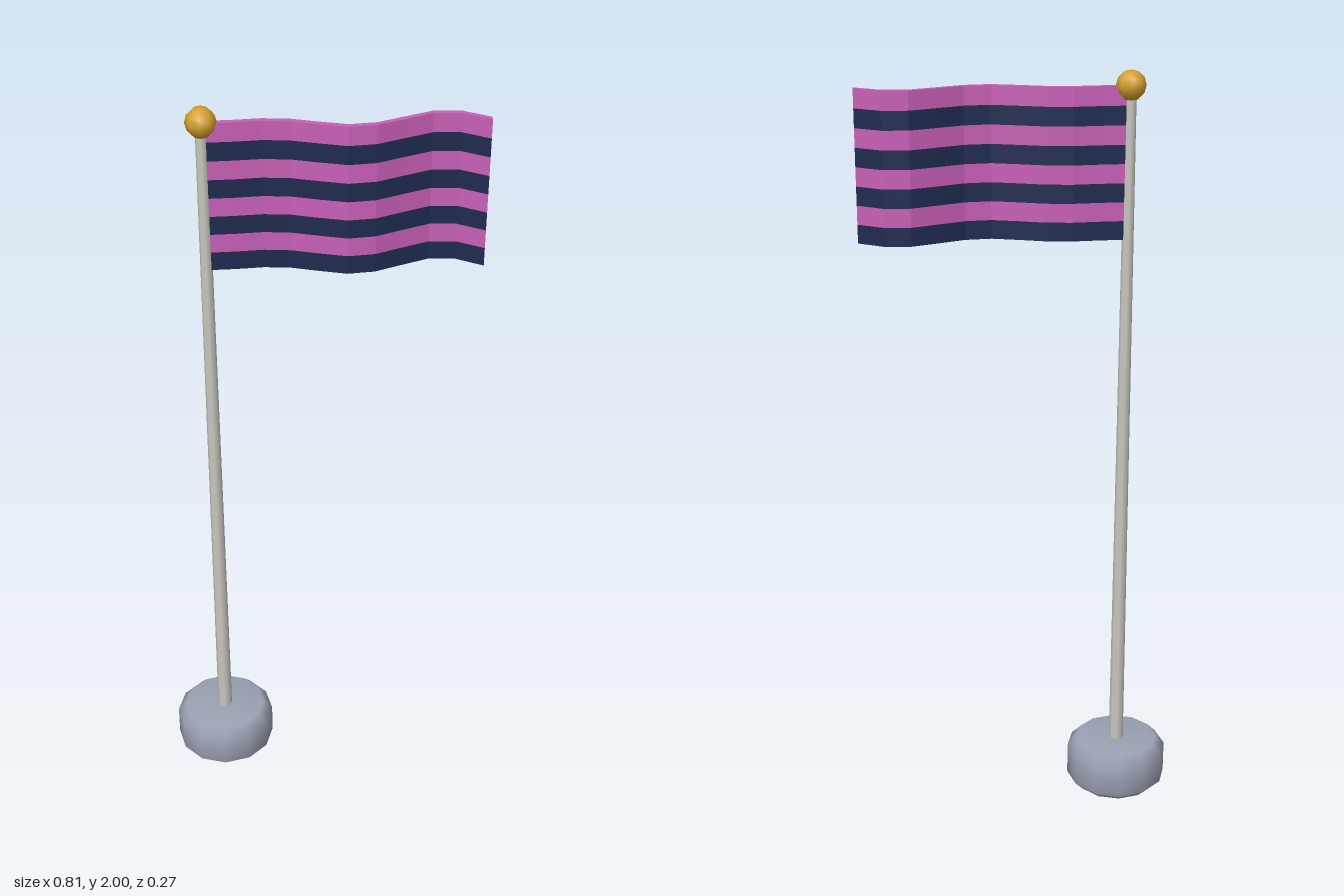
import * as THREE from 'three';

const POLE_X = -0.271;

function material(name, color) {
  const m = new THREE.MeshStandardMaterial({ color });
  m.name = name;
  return m;
}

export function createModel() {
  const stone = material('grey stone', 0x9aa2b2);
  const metal = material('pale metal', 0xc9c8c0);
  const gold = material('gold', 0xd4a02c);
  const pink = material('pink cloth', 0xc860b6);
  const navy = material('navy cloth', 0x1f2b4f);

  const model = new THREE.Group();
  model.name = 'flagpole';
  const add = (name, geometry, mat, x, y, z = 0) => {
    const mesh = new THREE.Mesh(geometry, mat);
    mesh.name = name;
    mesh.position.set(x, y, z);
    model.add(mesh);
    return mesh;
  };

  // Chamfered round foot with soft shading
  const profile = [[0, 0], [0.112, 0], [0.137, 0.025], [0.137, 0.11], [0.112, 0.137], [0, 0.137]]
    .map(([r, y]) => new THREE.Vector2(r, y));
  add('base', new THREE.LatheGeometry(profile, 12), stone, POLE_X, 0);

  // Slightly tapered pole
  const bottom = 0.12, top = 1.95;
  add('pole', new THREE.CylinderGeometry(0.014, 0.02, top - bottom, 8), metal, POLE_X, (top + bottom) / 2);

  // Ball on top
  add('finial', new THREE.SphereGeometry(0.038, 8, 6), gold, POLE_X, 1.962);

  // Waving cloth: z of the centre line at evenly spaced x
  const wave = [0, -0.004, -0.011, -0.006, 0.012, 0.028, 0.019, -0.012, -0.042, -0.04, -0.003];
  const x0 = -0.264, x1 = 0.406, half = 0.0075;
  const edge = (side) => wave.map((z, i) =>
    new THREE.Vector2(x0 + (x1 - x0) * i / (wave.length - 1), -z + side * half));
  const outline = new THREE.Shape([...edge(-1), ...edge(1).reverse()]);

  // Eight stripes stacked from the top, alternating colours
  const stripes = 8, flagTop = 1.962, height = 0.384 / stripes;
  for (let i = 0; i < stripes; i++) {
    const geometry = new THREE.ExtrudeGeometry(outline, { depth: height, bevelEnabled: false });
    geometry.rotateX(-Math.PI / 2);
    add('flagStripe' + (i + 1), geometry, i % 2 ? navy : pink, 0, flagTop - (i + 1) * height);
  }
  return model;
}
